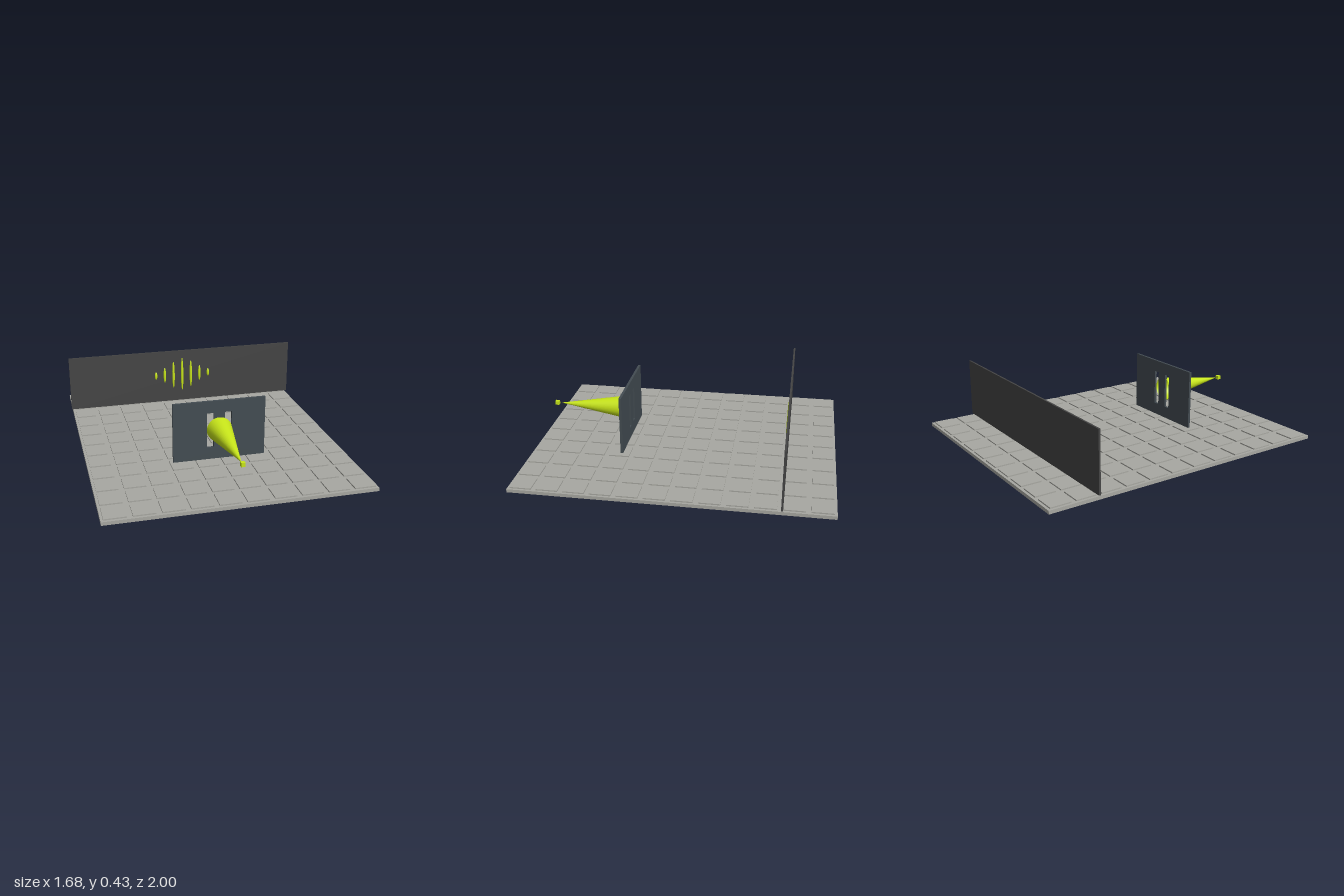
import * as THREE from 'three';

const mat = (color, extra = {}) => new THREE.MeshStandardMaterial({ color, ...extra });

export function createModel() {
  const model = new THREE.Group();
  const stone = mat(0xa8a8a2);
  const glow = mat(0xc8e61a);

  const add = (name, geometry, material, x, y, z, parent = model) => {
    const mesh = new THREE.Mesh(geometry, material);
    mesh.name = name;
    mesh.position.set(x, y, z);
    parent.add(mesh);
    return mesh;
  };

  // Floor slab with a 10 x 12 grid of raised tiles
  add('floorSlab', new THREE.BoxGeometry(1.664, 0.022, 2), stone, 0, 0.011, 0);
  const tiles = new THREE.Group();
  tiles.name = 'floorTiles';
  model.add(tiles);
  const pitch = 1 / 6;
  const tileGeometry = new THREE.BoxGeometry(0.133, 0.02, 0.133);
  for (let i = 0; i < 10; i++) {
    for (let j = 0; j < 12; j++) {
      add('floorTile', tileGeometry, stone, (i - 4.5) * pitch, 0.02, (j - 5.5) * pitch, tiles);
    }
  }

  // Rear screen
  add('screen', new THREE.BoxGeometry(1.684, 0.394, 0.012), mat(0x444444), 0, 0.228, -0.68);

  // Bright fringes on the screen, tallest in the middle
  const fringes = new THREE.Group();
  fringes.name = 'fringes';
  model.add(fringes);
  const fringeHalfHeights = [0.13, 0.105, 0.06, 0.03];
  const fringeGeometry = new THREE.SphereGeometry(1, 16, 12);
  for (let i = -3; i <= 3; i++) {
    const fringe = add('fringe', fringeGeometry, glow, i * 0.067, 0.238, -0.675, fringes);
    fringe.scale.set(0.01, fringeHalfHeights[Math.abs(i)], 0.009);
  }

  // Barrier with two vertical slits
  const rectangle = (path, x0, y0, x1, y1) => {
    path.moveTo(x0, y0);
    path.lineTo(x1, y0);
    path.lineTo(x1, y1);
    path.lineTo(x0, y1);
    path.closePath();
    return path;
  };
  const barrier = rectangle(new THREE.Shape(), -0.3, 0.04, 0.3, 0.434);
  for (const x of [-0.058, 0.058]) {
    barrier.holes.push(rectangle(new THREE.Path(), x - 0.022, 0.12, x + 0.022, 0.355));
  }
  const barrierGeometry = new THREE.ExtrudeGeometry(barrier, { depth: 0.016, bevelEnabled: false });
  add('slitBarrier', barrierGeometry, mat(0x434c52), 0, 0, 0.392);

  // Light cone spreading from the emitter to the barrier
  const beamGeometry = new THREE.ConeGeometry(0.082, 0.485, 32, 1, true).rotateX(Math.PI / 2);
  add('lightCone', beamGeometry, mat(0xc8e61a, { side: THREE.DoubleSide }), 0, 0.24, 0.651);
  add('emitter', new THREE.BoxGeometry(0.026, 0.026, 0.026), glow, 0, 0.24, 0.92);

  return model;
}
